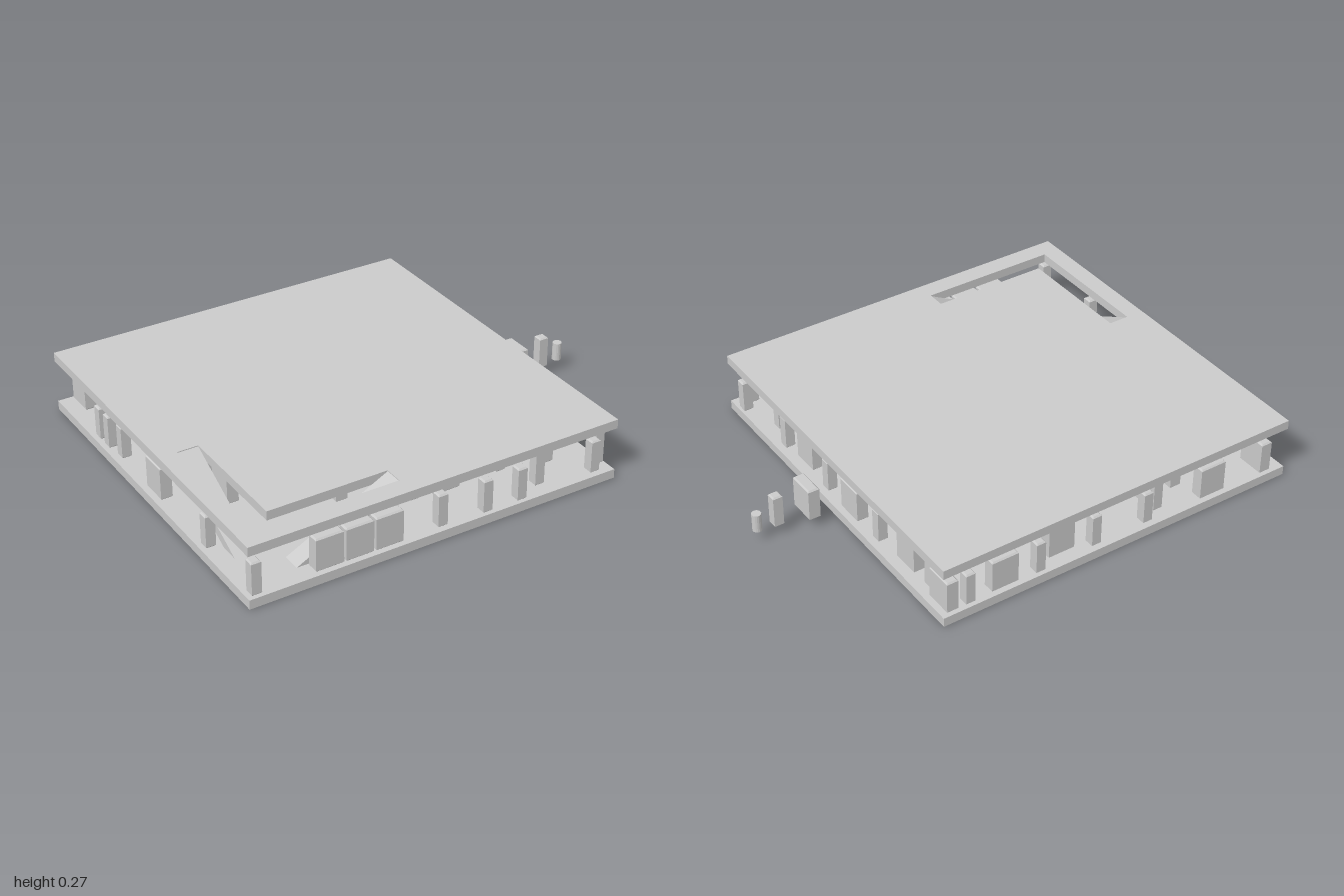
import * as THREE from 'three';

const FLOOR = 0.045, TOP = 0.19;

export function createModel() {
  const model = new THREE.Group();
  const material = new THREE.MeshStandardMaterial({ color: 0xcccccc, flatShading: true });
  const add = (name, geometry, x = 0, y = 0, z = 0, parent = model) => {
    const mesh = new THREE.Mesh(geometry, material);
    mesh.name = name;
    mesh.position.set(x, y, z);
    parent.add(mesh);
    return mesh;
  };
  const outline = (points) => new THREE.Shape(points.map(([x, y]) => new THREE.Vector2(x, y)));

  // Lower slab
  add('lowerSlab', new THREE.BoxGeometry(1.65, 0.04, 1.65), -0.175, 0.025, 0);

  // Upper slab with an L-shaped opening
  const slab = outline([[-1, -0.825], [0.65, -0.825], [0.65, 0.825], [-1, 0.825]]);
  slab.holes.push(outline([[-0.92, 0.13], [-0.92, 0.74], [-0.31, 0.74], [-0.31, 0.66], [-0.83, 0.66], [-0.83, 0.13]]));
  const slabGeometry = new THREE.ExtrudeGeometry(slab, { depth: 0.04, bevelEnabled: false });
  slabGeometry.rotateX(Math.PI / 2);
  add('upperSlab', slabGeometry, 0, 0.275, 0);

  // Two ramps descending towards the corner of the opening
  const ramp = (high, low, width) => new THREE.ExtrudeGeometry(
    outline([[high, 0.274], [low, 0.045], [low, 0.002], [high, 0.232]]),
    { depth: width, bevelEnabled: false });
  add('frontRamp', ramp(-0.305, -0.755, 0.08), 0, 0, 0.66);
  const sideRamp = ramp(0.125, 0.57, 0.09);
  sideRamp.rotateY(-Math.PI / 2);
  add('sideRamp', sideRamp, -0.83, 0, 0);

  // Chamfered block standing on the lower slab
  const bevel = 0.006;
  const blockGeometry = (w, d) => {
    const x = w / 2 - bevel, z = d / 2 - bevel;
    const g = new THREE.ExtrudeGeometry(outline([[-x, -z], [x, -z], [x, z], [-x, z]]), {
      depth: TOP - FLOOR - 2 * bevel, bevelEnabled: true,
      bevelSize: bevel, bevelThickness: bevel, bevelSegments: 1,
    });
    g.rotateX(-Math.PI / 2);
    g.translate(0, FLOOR + bevel, 0);
    return g;
  };
  const kinds = {
    wide: blockGeometry(0.12, 0.05),
    deep: blockGeometry(0.05, 0.12),
    small: blockGeometry(0.042, 0.042),
  };

  // Loose pieces beside the slabs
  add('looseBlock', kinds.deep, 0.752, 0, 0);
  add('loosePost', kinds.small, 0.89, 0, 0);
  add('loosePeg', new THREE.CylinderGeometry(0.02, 0.02, 0.08, 16), 0.977, 0.095, 0);

  // Blocks between the slabs, along the edges
  const blocks = new THREE.Group();
  blocks.name = 'blocks';
  model.add(blocks);
  const edges = {
    wide: [[-0.65, 0.78], [-0.52, 0.78], [-0.39, 0.78], [-0.64, -0.78], [0.07, -0.74], [0.36, -0.78]],
    deep: [[-0.91, -0.75], [-0.95, 0.02], [0.58, 0.27], [0.6, -0.11], [0.58, -0.49], [0.6, -0.75]],
    small: [[-0.96, 0.79], [-0.15, 0.78], [0.05, 0.79], [0.21, 0.79], [0.33, 0.74], [0.57, 0.78],
      [0.62, 0.74], [0.56, 0.55], [0.6, 0.42], [0.6, 0.08], [0.6, -0.3], [0.58, -0.64],
      [-0.07, -0.78], [-0.32, -0.78], [-0.4, -0.74], [0.2, -0.79], [0.52, -0.79],
      [-0.96, -0.47], [-0.96, -0.39], [-0.95, -0.29], [-0.96, 0.44]],
  };
  for (const [kind, places] of Object.entries(edges))
    for (const [x, z] of places) add(kind + 'Block', kinds[kind], x, 0, z, blocks);

  // Blocks scattered over the middle, leaving the ramps clear
  let seed = 7;
  const random = () => (seed = (seed * 16807) % 2147483647) / 2147483647;
  const names = Object.keys(kinds);
  for (let i = 0; i < 7; i++) {
    for (let j = 0; j < 7; j++) {
      const x = -0.77 + i * 0.2 + (random() - 0.5) * 0.07;
      const z = -0.6 + j * 0.2 + (random() - 0.5) * 0.07;
      const kind = names[Math.floor(random() * 3)];
      const onRamp = (x < -0.75 && z > 0.05) || (x < -0.22 && z > 0.55);
      if (!onRamp) add(kind + 'Block', kinds[kind], x, 0, z, blocks);
    }
  }
  return model;
}
